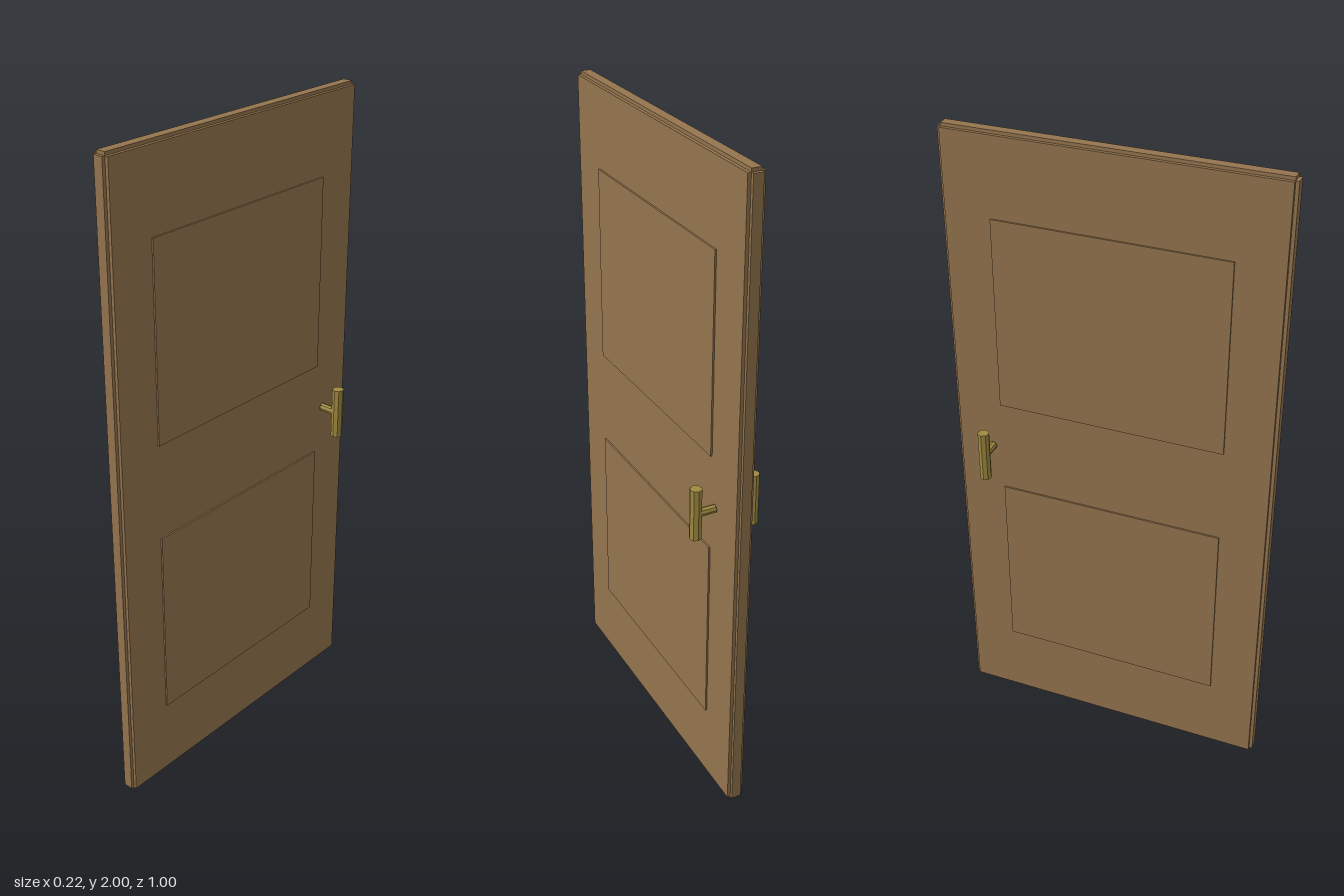
import * as THREE from 'three';

export function createModel() {
  const wood = new THREE.MeshStandardMaterial({ color: 0x94744e });
  wood.name = 'wood';
  const brass = new THREE.MeshStandardMaterial({ color: 0xa08a40, flatShading: true });
  brass.name = 'brass';

  const door = new THREE.Group();
  door.name = 'door';

  function add(parent, name, geometry, material, x, y, z) {
    const mesh = new THREE.Mesh(geometry, material);
    mesh.name = name;
    mesh.position.set(x, y, z);
    parent.add(mesh);
    return mesh;
  }

  // Slab with a small stepped rebate around its edges
  add(door, 'slab', new THREE.BoxGeometry(0.05, 1.98, 0.98), wood, 0, 1, 0);
  for (const s of [-1, 1]) {
    add(door, s > 0 ? 'topLip' : 'bottomLip',
      new THREE.BoxGeometry(0.03, 0.01, 0.98), wood, 0, 1 + s * 0.995, 0);
    add(door, s > 0 ? 'frontLip' : 'backLip',
      new THREE.BoxGeometry(0.03, 1.98, 0.01), wood, 0, 1, s * 0.495);
  }

  // Raised panels and a handle on each face
  const panel = new THREE.BoxGeometry(0.01, 0.6, 0.7);
  const stem = new THREE.CylinderGeometry(0.0125, 0.0125, 0.06, 8);
  stem.rotateZ(Math.PI / 2);
  const grip = new THREE.CylinderGeometry(0.018, 0.018, 0.16, 8);
  for (const s of [-1, 1]) {
    const side = s > 0 ? 'left' : 'right';
    add(door, side + 'LowerPanel', panel, wood, s * 0.025, 0.55, 0);
    add(door, side + 'UpperPanel', panel, wood, s * 0.025, 1.45, 0);

    const handle = new THREE.Group();
    handle.name = side + 'Handle';
    handle.position.set(0, 1, -0.38);
    add(handle, 'handleStem', stem, brass, s * 0.06, 0, 0);
    add(handle, 'handleGrip', grip, brass, s * 0.09, 0, 0);
    door.add(handle);
  }
  return door;
}
